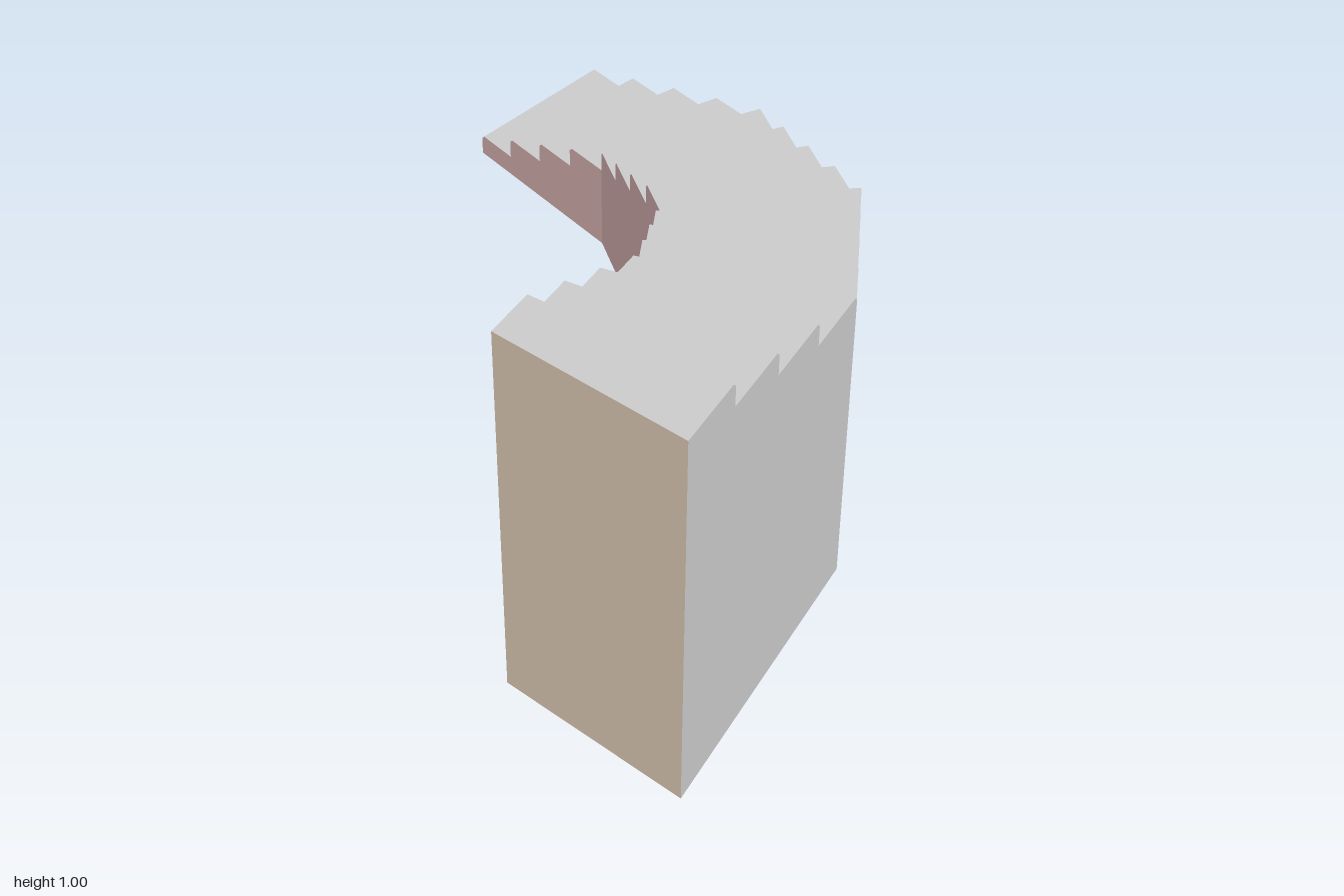
import * as THREE from 'three';

const SEGMENTS = 4, STEPS_PER_SEGMENT = 4, BEVEL = 0.01;
const INNER = 1.5, OUTER = 2, RISE = 1 / (SEGMENTS * STEPS_PER_SEGMENT);

// Corner of the faceted arc, which turns a quarter circle about (-1, 1)
function corner(radius, k) {
  const a = (k / SEGMENTS) * Math.PI / 2;
  return new THREE.Vector3(-1 + radius * Math.sin(a), 0, 1 - radius * Math.cos(a));
}

// Flat mesh from convex polygons, each listed counter-clockwise from outside
function polygonMesh(name, polygons, color = 0xcccccc) {
  const points = [];
  for (const p of polygons)
    for (let i = 1; i < p.length - 1; i++) points.push(p[0], p[i], p[i + 1]);
  const geometry = new THREE.BufferGeometry().setFromPoints(points);
  geometry.computeVertexNormals();
  const mesh = new THREE.Mesh(geometry, new THREE.MeshStandardMaterial({ color, flatShading: true }));
  mesh.name = name;
  return mesh;
}

// Side outline of one step between plan points a and b, with a bevelled nosing
function stepSide(a, b, top) {
  const nose = a.clone().addScaledVector(b.clone().sub(a).normalize(), BEVEL);
  const at = (p, y) => new THREE.Vector3(p.x, y, p.z);
  return [at(b, 0), at(a, 0), at(a, top - BEVEL), at(nose, top), at(b, top)];
}

export function createModel() {
  const group = new THREE.Group();
  group.name = 'curvedStaircase';
  const treads = [], risers = [], outerWall = [], innerWall = [], underside = [], end = [];

  for (let s = 0; s < SEGMENTS; s++) {
    const along = (radius, t) => corner(radius, s).lerp(corner(radius, s + 1), t);
    for (let j = 0; j < STEPS_PER_SEGMENT; j++) {
      const n = s * STEPS_PER_SEGMENT + j;
      const top = (n + 1) * RISE, t0 = j / STEPS_PER_SEGMENT, t1 = (j + 1) / STEPS_PER_SEGMENT;
      const o = stepSide(along(OUTER, t0), along(OUTER, t1), top);
      const i = stepSide(along(INNER, t0), along(INNER, t1), top);

      // Walls down to the ground
      outerWall.push(o);
      innerWall.push([...i].reverse());
      underside.push([o[1], o[0], i[0], i[1]]);

      // Riser above the previous tread, bevel and tread
      const low = (p) => new THREE.Vector3(p.x, n * RISE, p.z);
      risers.push([low(o[1]), low(i[1]), i[2], o[2]]);
      treads.push([o[2], i[2], i[3], o[3]], [o[3], i[3], i[4], o[4]]);

      // Tall wall closing the top end
      if (n === SEGMENTS * STEPS_PER_SEGMENT - 1) end.push([i[0], o[0], o[4], i[4]]);
    }
  }

  group.add(
    polygonMesh('treads', treads),
    polygonMesh('risers', risers),
    polygonMesh('outerWall', outerWall),
    polygonMesh('innerWall', innerWall, 0xe0b8b8),
    polygonMesh('underside', underside),
    polygonMesh('endWall', end, 0xe0ccb6),
  );
  return group;
}
